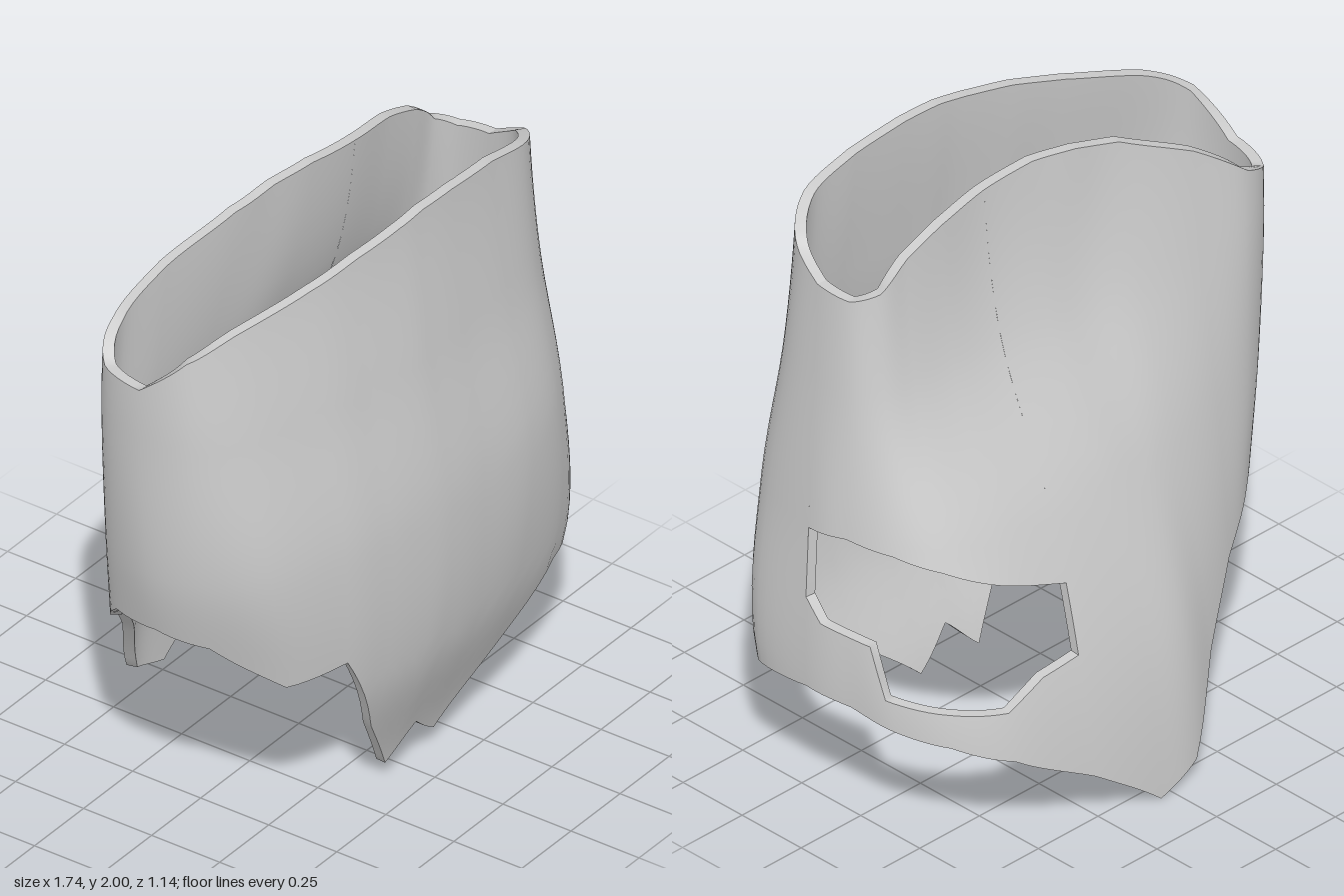
import * as THREE from 'three';

// Cross-sections [x, z], starting at the left side (+x) and running round the back, right and front
const rimLoop = [
  [.73, .2], [.72, .08], [.66, .01], [.56, 0], [.42, 0], [.22, .015], [.03, 0], [-.12, -.03],
  [-.27, -.06], [-.5, -.14], [-.68, -.18], [-.81, -.12], [-.85, .03], [-.82, .17], [-.7, .26],
  [-.45, .36], [-.27, .41], [-.1, .44], [.01, .45], [.15, .455], [.36, .45], [.56, .43], [.69, .33]];
const upperLoop = [
  [.765, .18], [.755, .04], [.69, -.04], [.59, -.07], [.44, -.08], [.24, -.08], [.05, -.09], [-.11, -.1],
  [-.28, -.14], [-.5, -.185], [-.68, -.21], [-.81, -.13], [-.868, .04], [-.84, .21], [-.71, .33],
  [-.45, .43], [-.27, .47], [-.1, .5], [.01, .505], [.15, .505], [.38, .495], [.58, .455], [.72, .35]];
const middleLoop = [
  [.82, .15], [.81, 0], [.755, -.14], [.65, -.24], [.49, -.3], [.27, -.325], [.05, -.325], [-.12, -.31],
  [-.28, -.29], [-.49, -.26], [-.67, -.22], [-.79, -.12], [-.855, .06], [-.82, .24], [-.69, .4],
  [-.45, .5], [-.27, .54], [-.1, .565], [.01, .573], [.15, .575], [.4, .57], [.61, .52], [.76, .4]];
const lowerLoop = [
  [.862, .12], [.85, -.06], [.82, -.21], [.73, -.35], [.57, -.445], [.3, -.485], [.05, -.495], [-.12, -.485],
  [-.28, -.42], [-.46, -.34], [-.6, -.26], [-.71, -.14], [-.75, .05], [-.71, .2], [-.59, .38],
  [-.42, .47], [-.26, .51], [-.1, .535], [.01, .54], [.15, .54], [.38, .53], [.64, .49], [.81, .39]];
// The chin tapers: the front tucks in, the back flares out
const chinLoop = lowerLoop.map(([x, z]) => [x * .97, z * (z > 0 ? .7 : 1.14)]);
const LOOPS = [chinLoop, lowerLoop, middleLoop, upperLoop, rimLoop]; // spaced 0.5 apart in height

// Heights of the ragged edges, one per column
const topEdge = [1.8, 1.79, 1.82, 1.9, 1.95, 1.98, 2, 1.99, 1.96, 1.86, 1.73, 1.66,
  1.66, 1.79, 1.86, 1.92, 1.96, 1.985, 2, 2, 1.985, 1.94, 1.88];
const bottomEdge = [.46, .46, .43, .4, .33, .18, 0, .06, .33, .52, .62, .76,
  .79, .76, .6, .63, .3, .06, .165, .06, .24, .43, .41];
// Side opening, as [column, height]
const HOLE_END = 5;
const holeTop = [[0, .99], [1, 1.01], [2, .99], [3, .94], [4, .87], [5, .8]];
const holeBottom = [[0, .76], [.333, .7], [1.5, .69], [1.833, .53], [3, .51], [4, .49], [4.5, .56], [5, .58]];

const N = rimLoop.length;
const SUB = 6;          // steps per column
const ROWS = 20;
const THICKNESS = .035;

const spline = (a, b, c, d, t) =>
  b + .5 * t * (c - a + t * (2 * a - 5 * b + 4 * c - d + t * (3 * (b - c) + d - a)));

const edge = values => u => {
  const i = Math.floor(u), t = u - i;
  return values[i % N] * (1 - t) + values[(i + 1) % N] * t;
};
const path = points => u => {
  const i = Math.max(1, points.findIndex(p => p[0] >= u - 1e-6));
  const [a, b] = [points[i - 1], points[i]];
  return a[1] + (b[1] - a[1]) * (u - a[0]) / (b[0] - a[0]);
};

function surface(u, y) {
  const i = Math.floor(u), t = u - i;
  const level = Math.min(3, Math.max(0, Math.floor(y * 2))), s = y * 2 - level;
  const coord = axis => {
    const at = l => {
      const loop = LOOPS[Math.min(4, Math.max(0, l))];
      return spline(...[-1, 0, 1, 2].map(k => loop[(i + k + N) % N][axis]), t);
    };
    return spline(at(level - 1), at(level), at(level + 1), at(level + 2), s);
  };
  return new THREE.Vector3(coord(0), y, coord(1));
}

function surfaceNormal(u, y) {
  const e = .02;
  const du = surface(u + e, y).sub(surface((u - e + N) % N, y));
  const dy = surface(u, y + e).sub(surface(u, y - e));
  return du.cross(dy).normalize();
}

// depth 0 is the outer skin, 1 the inner one
function shellPoint(u, y, depth) {
  const n = surfaceNormal(u, y);
  n.y = 0;
  return surface(u, y).addScaledVector(n.normalize(), -THICKNESS * depth);
}

// Grid of nu x nv quads facing du x dv
function grid(nu, nv, point, normal) {
  const pos = [], nor = [], index = [];
  for (let i = 0; i <= nu; i++) for (let j = 0; j <= nv; j++) {
    pos.push(...point(i / nu, j / nv).toArray());
    if (normal) nor.push(...normal(i / nu, j / nv).toArray());
    if (i < nu && j < nv) {
      const a = i * (nv + 1) + j, b = a + nv + 1;
      index.push(a, b, b + 1, a, b + 1, a + 1);
    }
  }
  const g = new THREE.BufferGeometry();
  g.setAttribute('position', new THREE.Float32BufferAttribute(pos, 3));
  g.setIndex(index);
  if (normal) g.setAttribute('normal', new THREE.Float32BufferAttribute(nor, 3));
  else g.computeVertexNormals();
  return g;
}

export function createModel() {
  const model = new THREE.Group();
  model.name = 'raggedShell';
  const material = new THREE.MeshStandardMaterial({ color: 0xcccccc });
  const add = (name, geometry, parent = model) => {
    const mesh = new THREE.Mesh(geometry, material);
    mesh.name = name;
    parent.add(mesh);
  };

  // Thick panel between two edges
  function panel(name, u0, u1, low, high) {
    const group = new THREE.Group();
    group.name = name;
    model.add(group);
    const nu = (u1 - u0) * SUB;
    const U = s => u0 + (u1 - u0) * s;
    const Y = (u, t) => low(u) + (high(u) - low(u)) * t;
    add('outerSkin', grid(nu, ROWS,
      (s, t) => shellPoint(U(s), Y(U(s), t), 0),
      (s, t) => surfaceNormal(U(s), Y(U(s), t))), group);
    add('innerSkin', grid(nu, ROWS,
      (s, t) => shellPoint(U(1 - s), Y(U(1 - s), t), 1),
      (s, t) => surfaceNormal(U(1 - s), Y(U(1 - s), t)).negate()), group);
    add('upperRim', grid(nu, 1, (s, t) => shellPoint(U(s), high(U(s)), t)), group);
    add('lowerRim', grid(nu, 1, (s, t) => shellPoint(U(s), low(U(s)), 1 - t)), group);
  }

  const top = edge(topEdge), bottom = edge(bottomEdge);
  const openTop = path(holeTop), openBottom = path(holeBottom);
  panel('mainWall', HOLE_END, N, bottom, top);
  panel('wallAboveOpening', 0, HOLE_END, openTop, top);
  panel('wallBelowOpening', 0, HOLE_END, bottom, openBottom);

  // End faces of the side opening
  const openY = (u, s) => openBottom(u) + (openTop(u) - openBottom(u)) * s;
  add('openingBackEnd', grid(6, 1, (s, t) => shellPoint(HOLE_END, openY(HOLE_END, s), t)));
  add('openingFrontEnd', grid(6, 1, (s, t) => shellPoint(0, openY(0, s), 1 - t)));
  return model;
}
